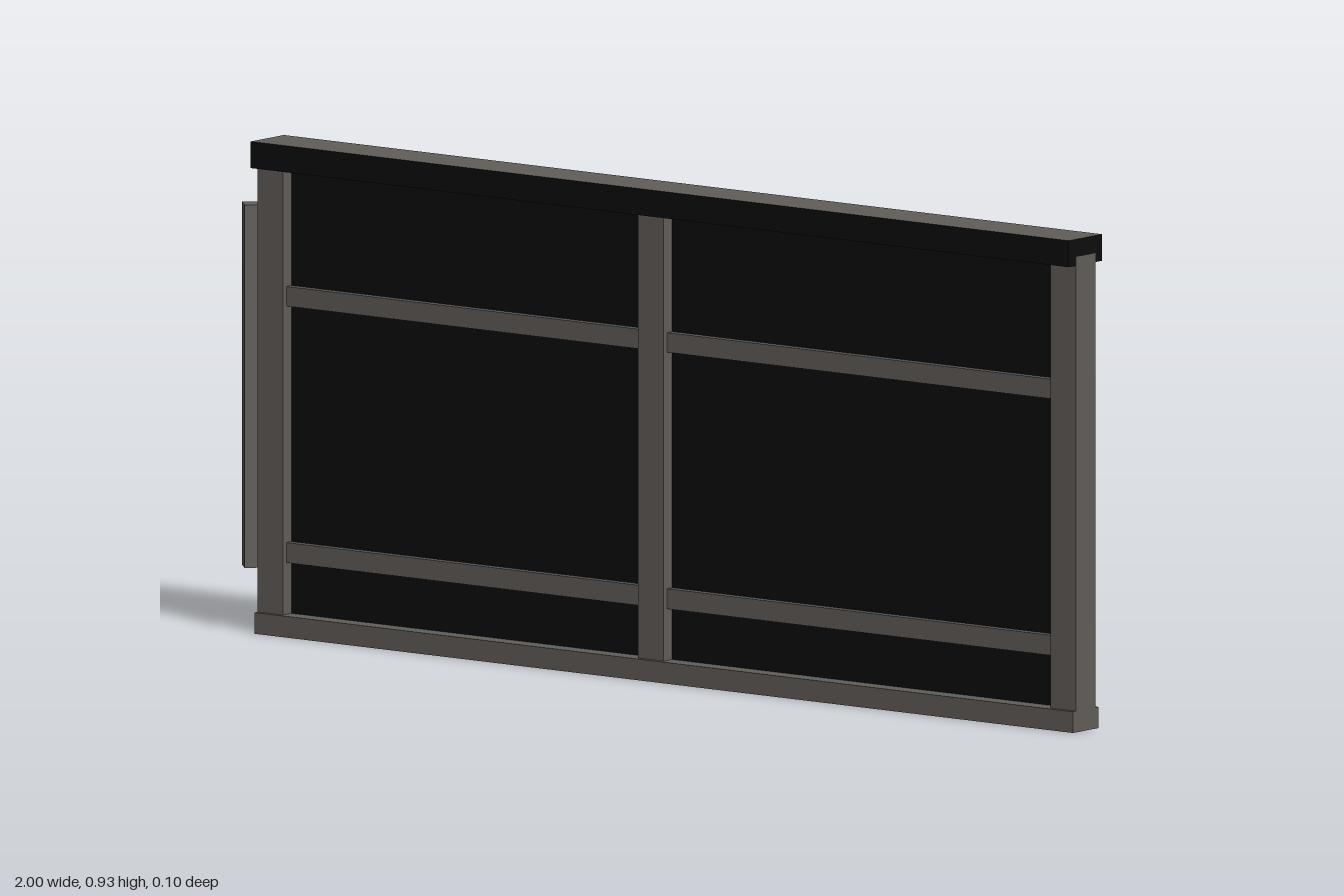
import * as THREE from 'three';

export function createModel() {
  const model = new THREE.Group();
  model.name = 'fencePanel';

  const steel = new THREE.MeshStandardMaterial({ color: 0x625e59 });
  steel.name = 'warm grey steel';
  const black = new THREE.MeshStandardMaterial({ color: 0x0d0d0d });
  black.name = 'black';

  // Box given by its x and y limits and its half depth about z = 0
  function bar(name, x0, x1, y0, y1, halfZ, material) {
    const mesh = new THREE.Mesh(new THREE.BoxGeometry(x1 - x0, y1 - y0, halfZ * 2), material);
    mesh.position.set((x0 + x1) / 2, (y0 + y1) / 2, 0);
    mesh.name = name;
    model.add(mesh);
    return mesh;
  }

  // Infill sheet
  bar('infillSheet', -0.93, 0.99, 0.02, 0.89, 0.003, black);

  // Top rail: grey above and below, black band around the sides
  bar('topRail', -0.94, 0.9995, 0.878, 0.928, 0.05, [black, black, steel, steel, black, black]);

  // Bottom rail
  bar('bottomRail', -0.94, 1, 0, 0.04, 0.038, steel);

  // Upright posts
  const posts = { rightPost: -0.94, middlePost: -0.038, leftPost: 0.94 };
  for (const [name, x] of Object.entries(posts)) {
    bar(name, x, x + 0.06, 0.002, 0.895, 0.029, steel);
  }

  // Cross rails in both bays
  for (const [side, x0, x1] of [['right', -0.88, -0.038], ['left', 0.022, 0.94]]) {
    bar(side + 'LowerCrossRail', x0, x1, 0.137, 0.175, 0.018, steel);
    bar(side + 'UpperCrossRail', x0, x1, 0.62, 0.657, 0.018, steel);
  }

  // Hinge bar: a square bar turned on its edge
  const s = 0.06 / Math.SQRT2;
  const hinge = new THREE.Mesh(new THREE.BoxGeometry(s, 0.683, s), steel);
  hinge.rotation.y = Math.PI / 4;
  hinge.position.set(-0.97, 0.4615, 0);
  hinge.name = 'hingeBar';
  model.add(hinge);

  return model;
}
